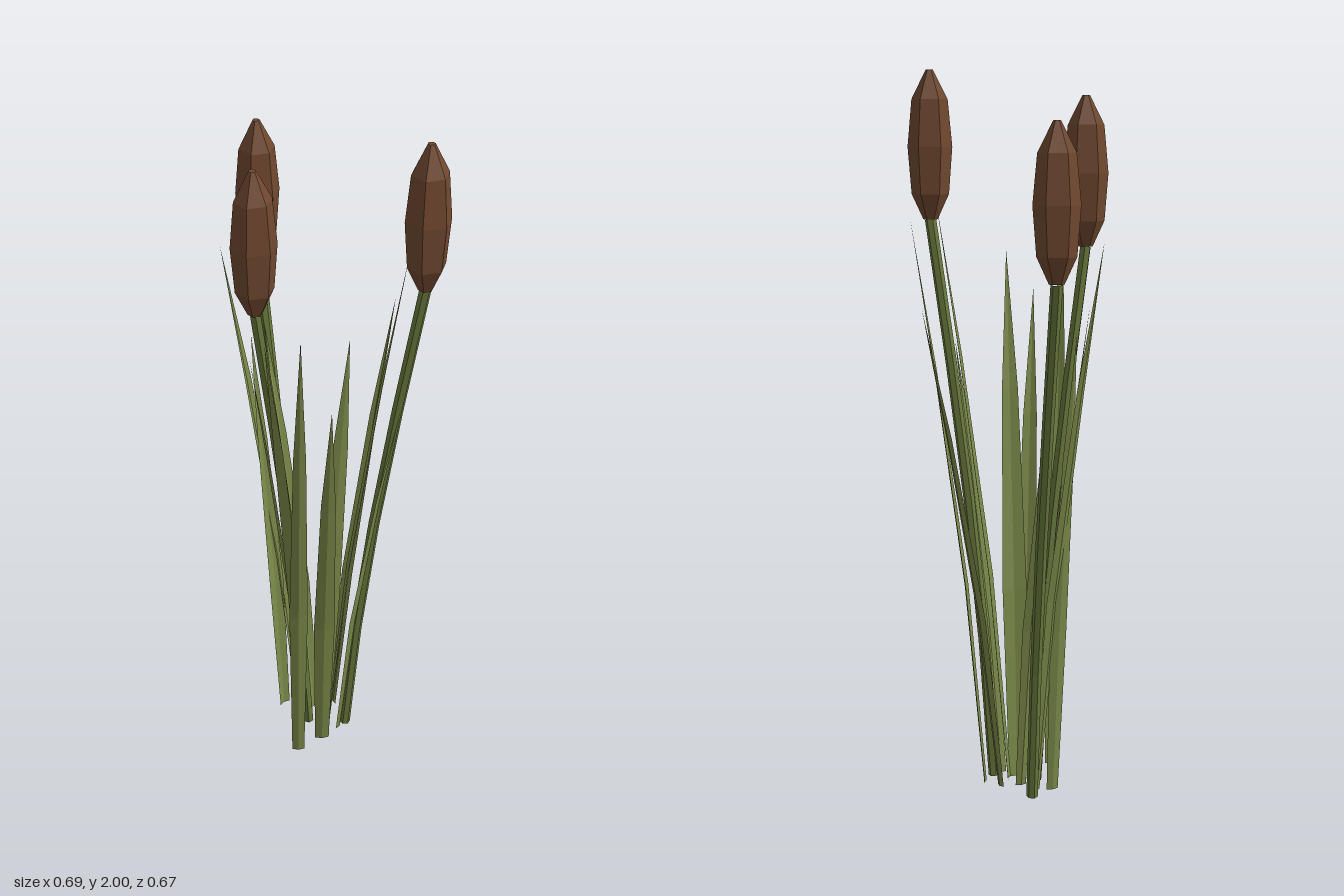
import * as THREE from 'three';

const material = (color, side = THREE.FrontSide) =>
  new THREE.MeshStandardMaterial({ color, side, flatShading: true });
const headMat = material(0x70482f);
const stalkMat = material(0x68783c);
const leafMat = material(0x7c8b4a, THREE.DoubleSide);

// Point on a stem that leans outward faster towards its tip
function leanPoint([x0, z0], [x1, y1, z1], t) {
  const f = Math.pow(t, 1.35);
  return new THREE.Vector3(x0 + (x1 - x0) * f, y1 * t, z0 + (z1 - z0) * f);
}

// Flower head: six-sided spindle
const headProfile = [[0, 0], [0.02, 0], [0.052, 0.07], [0.062, 0.2], [0.05, 0.33], [0.01, 0.41], [0, 0.41]]
  .map(([r, y]) => new THREE.Vector2(r, y));
const headGeo = new THREE.LatheGeometry(headProfile, 6);

function makeCattail(base, tip) {
  const group = new THREE.Group();
  group.name = 'cattail';
  const points = [0, 0.33, 0.67, 1].map((t) => leanPoint(base, tip, t));
  const curve = new THREE.CatmullRomCurve3(points);
  const stalk = new THREE.Mesh(new THREE.TubeGeometry(curve, 4, 0.016, 6), stalkMat);
  stalk.name = 'stalk';
  const end = new THREE.Mesh(new THREE.CircleGeometry(0.016, 6), stalkMat);
  end.name = 'stalkEnd';
  end.position.copy(points[0]);
  end.rotation.x = Math.PI / 2;
  const head = new THREE.Mesh(headGeo, headMat);
  head.name = 'flowerHead';
  head.position.set(...tip);
  head.rotation.y = 0.15;
  group.add(stalk, end, head);
  return group;
}

// Leaf: a bent blade with a shallow fold along its middle
function makeLeaf(base, tip, width) {
  const out = new THREE.Vector3(tip[0] - base[0], 0, tip[2] - base[1]).normalize();
  const across = new THREE.Vector3(out.z, 0, -out.x);
  const rings = [[0, 0.7], [0.36, 1], [0.74, 0.66], [1, 0]];
  const positions = [], index = [];
  rings.forEach(([t, w], i) => {
    const centre = leanPoint(base, tip, t);
    for (const s of [-1, 0, 1]) {
      const p = centre.clone().addScaledVector(across, s * w * width / 2);
      if (s === 0) p.addScaledVector(out, 0.007 * w);
      positions.push(p.x, p.y, p.z);
    }
    if (i === 0) return;
    for (const k of [0, 1]) {
      const a = (i - 1) * 3 + k, b = a + 3;
      index.push(a, a + 1, b);
      if (i < rings.length - 1) index.push(a + 1, b + 1, b);
      else index.push(a + 1, b + 1, b);
    }
  });
  const geo = new THREE.BufferGeometry();
  geo.setAttribute('position', new THREE.Float32BufferAttribute(positions, 3));
  geo.setIndex(index);
  geo.computeVertexNormals();
  const leaf = new THREE.Mesh(geo, leafMat);
  leaf.name = 'leaf';
  return leaf;
}

export function createModel() {
  const model = new THREE.Group();
  model.name = 'cattailClump';

  // Stalks: base [x, z], underside of head [x, y, z]
  const cattails = [
    [[-0.1, -0.115], [-0.29, 1.45, -0.27]],
    [[-0.015, 0], [-0.11, 1.52, 0.12]],
    [[0.09, -0.04], [0.286, 1.59, -0.068]],
  ];
  for (const [base, tip] of cattails) model.add(makeCattail(base, tip));

  // Leaves: base [x, z], tip [x, y, z], width
  const leaves = [
    [[0.02, -0.1], [0.1, 1.37, -0.335], 0.04],
    [[0.07, -0.105], [0.246, 1.6, -0.205], 0.043],
    [[0.035, -0.04], [0.217, 1.65, -0.13], 0.05],
    [[0.08, -0.012], [0.256, 1.25, 0], 0.042],
    [[0.028, -0.01], [0.15, 1.5, 0.102], 0.07],
    [[0.055, 0.055], [0.172, 1.38, 0.263], 0.06],
    [[0.01, 0.13], [0.118, 1.62, 0.333], 0.052],
    [[-0.03, 0.005], [-0.063, 1.46, 0.165], 0.05],
    [[-0.03, 0.005], [-0.14, 1.36, 0.1], 0.05],
    [[-0.02, -0.06], [-0.232, 1.3, -0.177], 0.045],
    [[-0.08, -0.07], [-0.328, 1.55, -0.111], 0.042],
    [[-0.112, -0.035], [-0.235, 1.3, -0.1], 0.05],
  ];
  for (const [base, tip, width] of leaves) model.add(makeLeaf(base, tip, width));
  return model;
}
